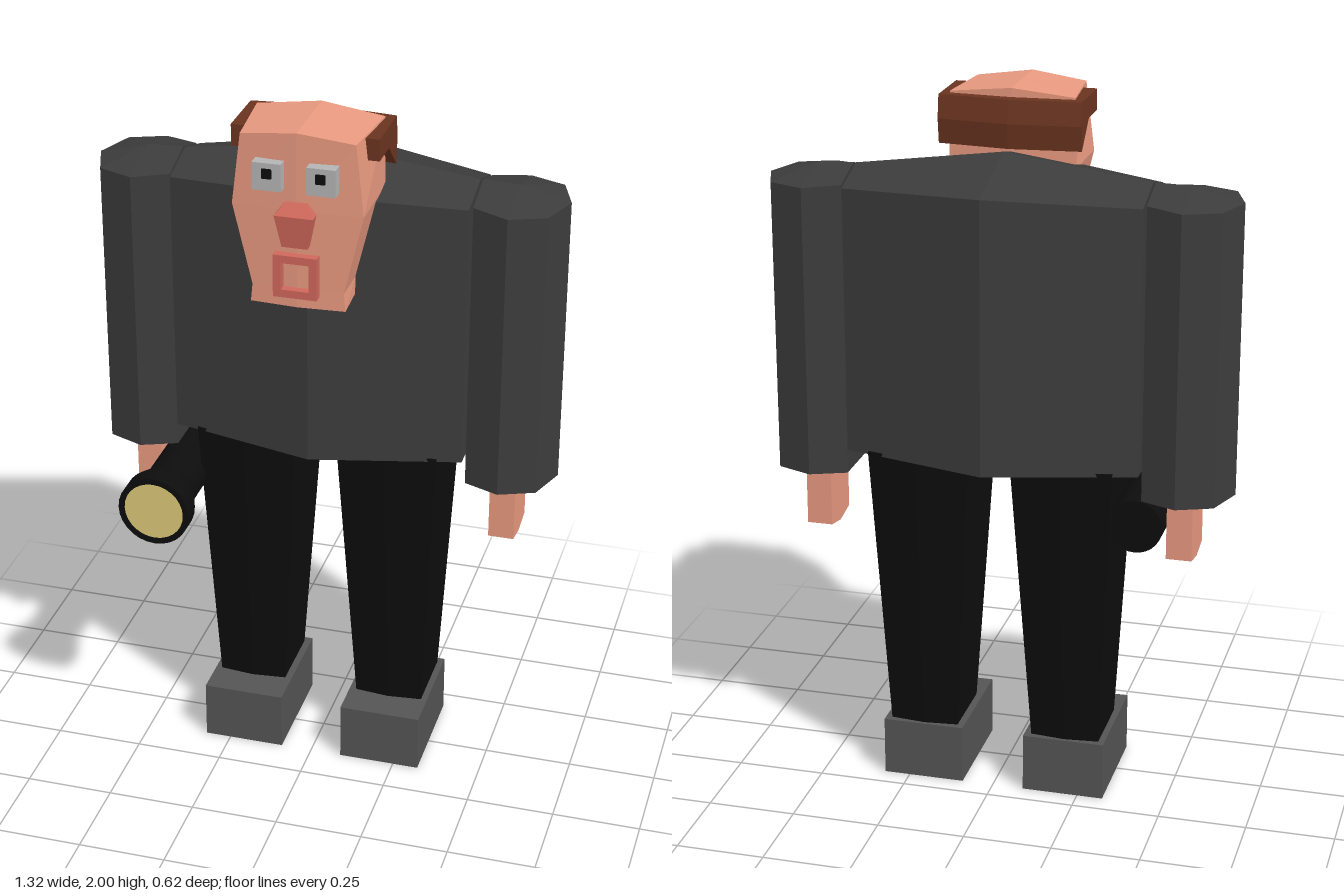
import * as THREE from 'three';
import { toCreasedNormals } from 'three/addons/utils/BufferGeometryUtils.js';

const paint = (color, flatShading = true) => new THREE.MeshStandardMaterial({ color, flatShading });
const skin = paint(0xe8997f), jacket = paint(0x3c3c3c), cloth = paint(0x0d0d0d), leather = paint(0x545454);
const hairBrown = paint(0x6b3420), lip = paint(0xd0685c), eyeGrey = paint(0xb4b4b4);
const torchBlack = paint(0x0d0d0d, false), glass = paint(0xdcc878);

// Faceted solid through rings of [x, y, z]; rings run +x, -z, -x, +z, lowest first.
function loft(rings, topCentre) {
  const pos = [];
  const tri = (a, b, c) => pos.push(...a, ...b, ...c);
  const mean = (ring) => [0, 1, 2].map((k) => ring.reduce((s, p) => s + p[k], 0) / ring.length);
  const n = rings[0].length, last = rings[rings.length - 1];
  const low = mean(rings[0]), high = topCentre || mean(last);
  for (let i = 0; i < n; i++) {
    const j = (i + 1) % n;
    for (let r = 0; r < rings.length - 1; r++) {
      const a = rings[r], b = rings[r + 1];
      tri(a[i], a[j], b[j]);
      tri(a[i], b[j], b[i]);
    }
    tri(low, rings[0][j], rings[0][i]);
    tri(high, last[i], last[j]);
  }
  const g = new THREE.BufferGeometry();
  g.setAttribute('position', new THREE.Float32BufferAttribute(pos, 3));
  g.computeVertexNormals();
  return g;
}

// Six-sided ring: flat sides with a slight point at the middle of front and back
const hexRing = (y, wFront, wBack, front, back, point, lift = 0) => [
  [wFront, y, front], [wBack, y, back], [0, y + lift, back - point],
  [-wBack, y, back], [-wFront, y, front], [0, y + lift, front + point],
];

export function createModel() {
  const model = new THREE.Group();
  const add = (name, geometry, material, x = 0, y = 0, z = 0, parent = model) => {
    const m = new THREE.Mesh(geometry, material);
    m.name = name;
    m.position.set(x, y, z);
    parent.add(m);
    return m;
  };
  const box = (w, h, d) => new THREE.BoxGeometry(w, h, d);

  // Torso: broad wedge with a shoulder ridge
  const plan = [[0.413, 0.065, 1.755], [0.413, -0.07, 1.79], [0.413, -0.2, 1.75], [0, -0.31, 1.775],
    [-0.413, -0.2, 1.75], [-0.413, -0.07, 1.79], [-0.413, 0.065, 1.755], [0, 0.165, 1.79]];
  add('torso', loft([plan.map(([x, z]) => [x, 1, z]), plan.map(([x, z, y]) => [x, y, z])], [0, 1.845, -0.065]), jacket);

  // Limbs, mirrored
  const sleevePlan = [[0.66, -0.07, 1.75], [0.62, -0.185, 1.75], [0.52, -0.225, 1.75], [0.42, -0.185, 1.755],
    [0.42, -0.07, 1.79], [0.42, 0.045, 1.755], [0.52, 0.085, 1.75], [0.62, 0.045, 1.75]];
  for (const s of [1, -1]) {
    const side = s > 0 ? 'left' : 'right';
    const ring = s > 0 ? sleevePlan : [...sleevePlan].reverse();
    add(side + 'Sleeve', loft(
      [ring.map(([x, z]) => [x * s, 0.925, z]), ring.map(([x, z, y]) => [x * s, y, z])],
      [0.52 * s, 1.787, -0.07]), jacket);

    const handRing = (yEnd, yMid) => [
      [0.036, yEnd, 0.01], [0.036, yMid, -0.067], [0.036, yEnd, -0.145],
      [-0.036, yEnd, -0.145], [-0.036, yMid, -0.067], [-0.036, yEnd, 0.01]];
    add(side + 'Hand', loft([handRing(0.745, 0.73), handRing(0.96, 0.96)]), skin, 0.52 * s);

    add(side + 'Leg', loft([
      hexRing(0.165, 0.098, 0.098, 0.035, -0.17, 0.01).map(([x, y, z]) => [x + 0.208 * s, y, z]),
      hexRing(1.01, 0.143, 0.143, 0.085, -0.225, 0.015).map(([x, y, z]) => [x + 0.203 * s, y, z]),
    ]), cloth);
    add(side + 'Shoe', box(0.234, 0.17, 0.33), leather, 0.207 * s, 0.085, -0.025);
  }

  // Head, from chin to crown
  const head = new THREE.Group();
  head.name = 'head';
  model.add(head);
  add('skull', loft([
    hexRing(1.51, 0.13, 0.125, 0.25, 0.135, 0.008),
    hexRing(1.56, 0.125, 0.125, 0.25, 0.13, 0.008),
    hexRing(1.785, 0.178, 0.178, 0.25, 0.03, 0.008),
    hexRing(1.98, 0.155, 0.175, 0.245, 0.03, 0.012, 0.02),
  ], [0, 2, 0.13]), skin, 0, 0, 0, head);

  // Hair: side profile run across the head, pushed back along the middle
  const profile = new THREE.Shape([[-0.18, 1.975], [-0.18, 1.915], [-0.085, 1.915], [-0.005, 1.84],
    [0.005, 1.91], [-0.005, 1.975]].map(([x, y]) => new THREE.Vector2(x, y)));
  const hair = new THREE.ExtrudeGeometry(profile, { depth: 0.4, steps: 2, bevelEnabled: false });
  hair.translate(0, 0, -0.2).rotateY(Math.PI / 2);
  const hp = hair.attributes.position;
  for (let i = 0; i < hp.count; i++) {
    if (Math.abs(hp.getX(i)) < 0.01 && hp.getZ(i) < 0.05) hp.setZ(i, hp.getZ(i) - 0.02);
  }
  hair.computeVertexNormals();
  add('hair', hair, hairBrown, 0, 0, 0, head);

  // Face
  for (const s of [1, -1]) {
    const side = s > 0 ? 'left' : 'right';
    add(side + 'Eye', box(0.078, 0.076, 0.05), eyeGrey, 0.073 * s, 1.883, 0.26, head);
    add(side + 'Pupil', box(0.026, 0.026, 0.02), cloth, 0.072 * s, 1.893, 0.281, head);
  }
  const noseRing = (y, w, front) => [[w, y, front], [w, y, 0.24], [-w, y, 0.24], [-w, y, front]];
  add('nose', loft([noseRing(1.69, 0.035, 0.28), noseRing(1.78, 0.053, 0.29), noseRing(1.81, 0.03, 0.265)]),
    lip, 0, 0, 0, head);

  const square = (path, r) => path.moveTo(-r, -r).lineTo(r, -r).lineTo(r, r).lineTo(-r, r).closePath();
  const mouth = square(new THREE.Shape(), 0.06);
  mouth.holes.push(square(new THREE.Path(), 0.038));
  add('mouth', new THREE.ExtrudeGeometry(mouth, { depth: 0.035, bevelEnabled: false }), lip, 0, 1.605, 0.245, head);

  // Torch held beside the right hand, pointing forward
  const torch = new THREE.Group();
  torch.name = 'torch';
  torch.position.set(-0.405, 0.85, 0);
  torch.rotation.x = Math.PI / 2;
  model.add(torch);
  const outline = [[0, -0.19], [0.076, -0.19], [0.076, 0.18], [0.103, 0.255], [0.103, 0.31], [0.086, 0.31],
    [0.086, 0.295], [0, 0.295]].map(([r, y]) => new THREE.Vector2(r, y));
  add('torchBody', toCreasedNormals(new THREE.LatheGeometry(outline, 28), 0.4), torchBlack, 0, 0, 0, torch);
  add('torchLens', new THREE.CylinderGeometry(0.086, 0.086, 0.02, 28), glass, 0, 0.297, 0, torch);

  return model;
}
